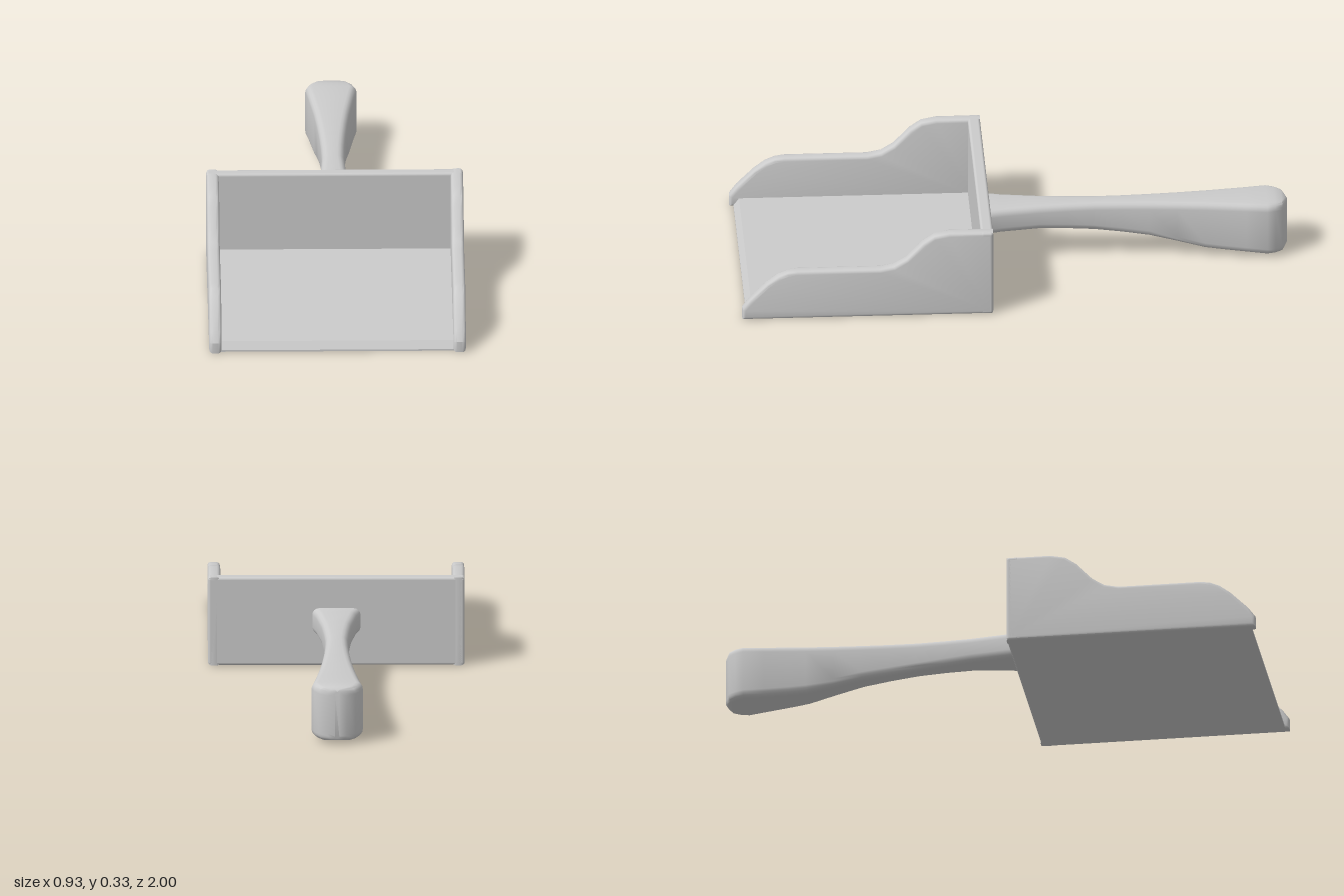
import * as THREE from 'three';
import { toCreasedNormals } from 'three/addons/utils/BufferGeometryUtils.js';
import { RoundedBoxGeometry } from 'three/addons/geometries/RoundedBoxGeometry.js';

const material = new THREE.MeshStandardMaterial({ color: 0xcccccc });

function addPart(group, name, geometry, x = 0, y = 0, z = 0) {
  const mesh = new THREE.Mesh(geometry, material);
  mesh.name = name;
  mesh.position.set(x, y, z);
  group.add(mesh);
}

// Extrudes a (z, y) profile across x, centred, with optional rounded edges
function profileAcross(points, width, bevel = 0) {
  const shape = new THREE.Shape(points.map(([z, y]) => new THREE.Vector2(z, y)));
  const depth = width - 2 * bevel;
  const geo = new THREE.ExtrudeGeometry(shape, {
    depth, bevelEnabled: bevel > 0, bevelSize: bevel, bevelThickness: bevel,
    bevelOffset: -bevel, bevelSegments: 3,
  });
  geo.translate(0, 0, -depth / 2).rotateY(-Math.PI / 2);
  return toCreasedNormals(geo, 0.6);
}

// Rounded rectangle cross-section, counter-clockwise seen from +z
function roundedRing(halfWidth, bottom, top, radius, z) {
  const r = Math.min(radius, halfWidth * 0.95, (top - bottom) * 0.48);
  const corners = [
    [halfWidth - r, top - r], [r - halfWidth, top - r],
    [r - halfWidth, bottom + r], [halfWidth - r, bottom + r],
  ];
  const ring = [];
  corners.forEach(([x, y], c) => {
    for (let i = 0; i <= 4; i++) {
      const a = (c + i / 4) * Math.PI / 2;
      ring.push([x + r * Math.cos(a), y + r * Math.sin(a), z]);
    }
  });
  return ring;
}

// Skins rings running towards -z and closes the last one
function loft(rings) {
  const n = rings[0].length;
  const index = [];
  for (let i = 0; i < rings.length - 1; i++) {
    for (let j = 0; j < n; j++) {
      const k = (j + 1) % n;
      const a = i * n + j, b = i * n + k, c = a + n, d = b + n;
      index.push(a, c, b, b, c, d);
    }
  }
  const last = (rings.length - 1) * n;
  for (let j = 1; j < n - 1; j++) index.push(last, last + j + 1, last + j);
  const geo = new THREE.BufferGeometry();
  geo.setAttribute('position', new THREE.Float32BufferAttribute(rings.flat(2), 3));
  geo.setIndex(index);
  return toCreasedNormals(geo, 0.75);
}

export function createModel() {
  const group = new THREE.Group();
  group.name = 'dustpan';

  // Side walls with a stepped, curved top edge
  const sideProfile = [
    [0.09, 0], [1, 0], [1, 0.04], [0.975, 0.075], [0.91, 0.14], [0.87, 0.17],
    [0.835, 0.185], [0.8, 0.19], [0.5, 0.19], [0.45, 0.2], [0.405, 0.228],
    [0.345, 0.291], [0.305, 0.319], [0.25, 0.33], [0.09, 0.33],
  ];
  addPart(group, 'leftWall', profileAcross(sideProfile, 0.045, 0.012), 0.4425);
  addPart(group, 'rightWall', profileAcross(sideProfile, 0.045, 0.012), -0.4425);

  // Back wall
  addPart(group, 'backWall', new RoundedBoxGeometry(0.93, 0.33, 0.045, 3, 0.01), 0, 0.165, 0.1125);

  // Floor with a sloped front lip
  const floorProfile = [[0.105, 0], [0.985, 0], [0.985, 0.006], [0.965, 0.033], [0.105, 0.033]];
  addPart(group, 'floor', profileAcross(floorProfile, 0.9));

  // Handle stations: z, half width, bottom, top
  const stations = [
    [0.1, 0.09, 0.12, 0.215], [0.04, 0.074, 0.12, 0.215], [-0.1, 0.054, 0.12, 0.215],
    [-0.2, 0.046, 0.113, 0.215], [-0.3, 0.041, 0.104, 0.215], [-0.4, 0.043, 0.092, 0.215],
    [-0.5, 0.048, 0.078, 0.215], [-0.6, 0.055, 0.055, 0.215], [-0.7, 0.064, 0.031, 0.215],
    [-0.76, 0.071, 0.025, 0.215], [-0.85, 0.082, 0.018, 0.215], [-0.925, 0.093, 0.013, 0.215],
    [-0.955, 0.083, 0.012, 0.214], [-0.98, 0.066, 0.012, 0.211],
    [-0.992, 0.035, 0.015, 0.207], [-1, 0.008, 0.024, 0.199],
  ];
  addPart(group, 'handle', loft(stations.map(([z, w, b, t]) => roundedRing(w, b, t, 0.025, z))));

  return group;
}
